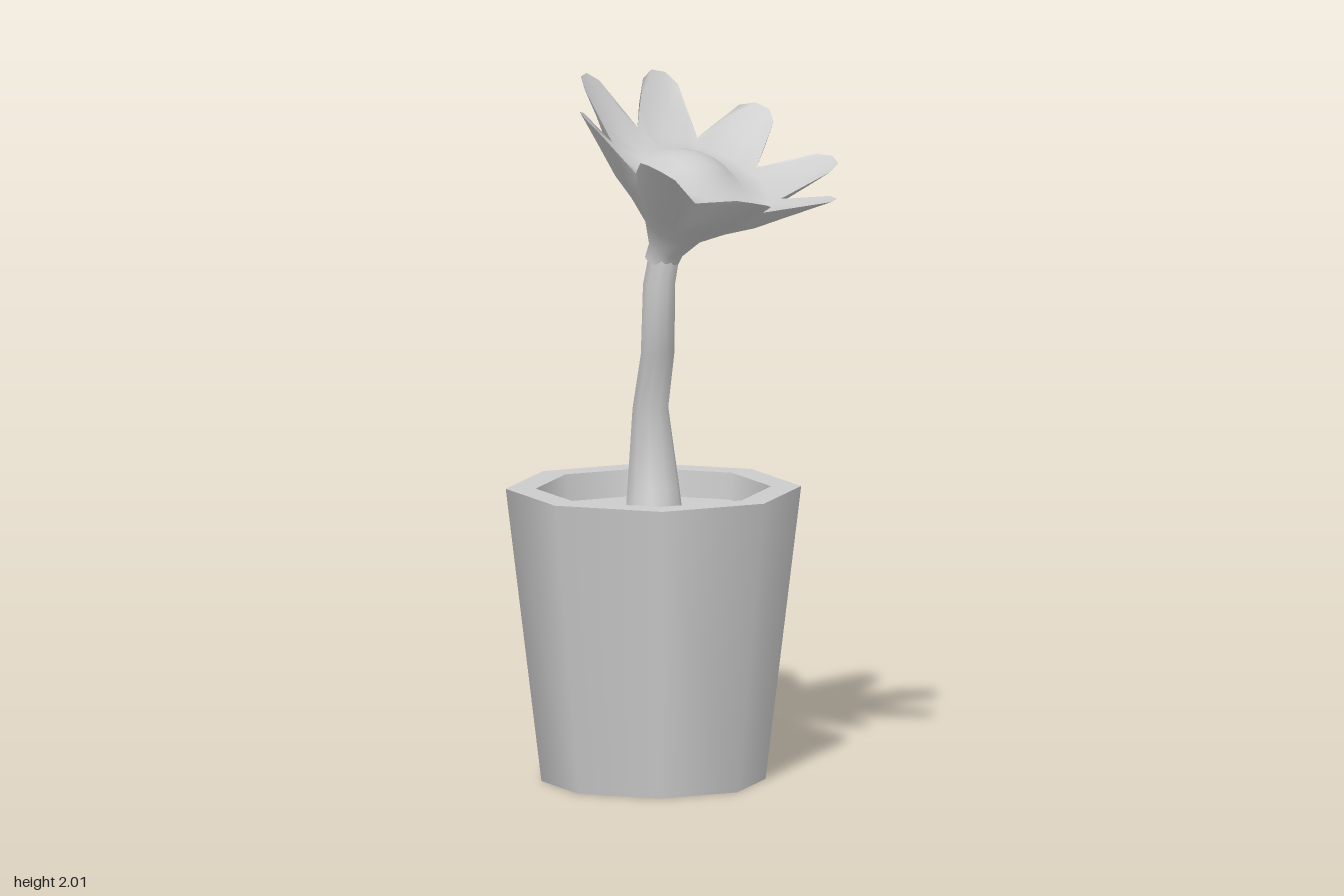
import * as THREE from 'three';
import { mergeVertices } from 'three/addons/utils/BufferGeometryUtils.js';

const V = (x, y, z) => new THREE.Vector3(x, y, z);
const DEG = Math.PI / 180;

// Skin a list of closed rings (equal point counts) with smooth normals
function loft(rings) {
  const n = rings[0].length, index = [];
  for (let i = 0; i < rings.length - 1; i++) {
    for (let j = 0; j < n; j++) {
      const k = (j + 1) % n;
      const a = i * n + j, b = a + n, c = i * n + k, d = c + n;
      index.push(a, b, c, b, d, c);
    }
  }
  const geo = new THREE.BufferGeometry().setFromPoints(rings.flat());
  geo.setIndex(index);
  const merged = mergeVertices(geo, 1e-4);
  merged.computeVertexNormals();
  return merged;
}

export function createModel() {
  const model = new THREE.Group();
  model.name = 'pottedFlower';
  const material = new THREE.MeshStandardMaterial({ color: 0xcccccc });
  const thin = new THREE.MeshStandardMaterial({ color: 0xcccccc, side: THREE.DoubleSide });
  const add = (parent, name, geo, mat = material) => {
    const mesh = new THREE.Mesh(geo, mat);
    mesh.name = name;
    parent.add(mesh);
    return mesh;
  };

  // Eight-sided pot, one band per surface so the rims stay sharp
  const pot = new THREE.Group();
  pot.name = 'pot';
  pot.position.set(-0.095, 0, -0.045);
  model.add(pot);
  const profile = [[0, 0], [0.314, 0], [0.414, 0.83], [0.33, 0.83], [0.32, 0.755], [0, 0.755]];
  ['potBase', 'potWall', 'potRim', 'potInnerWall', 'soil'].forEach((name, i) => {
    const pts = [profile[i], profile[i + 1]].map(p => new THREE.Vector2(...p));
    add(pot, name, new THREE.LatheGeometry(pts, 8, 27.4 * DEG));
  });

  // Crooked tapering stem: x, y, z, radius
  const stem = [
    [-0.093, 0.75, -0.045, 0.082], [-0.1, 0.83, -0.055, 0.074], [-0.12, 1.05, -0.08, 0.051],
    [-0.06, 1.22, 0.005, 0.048], [-0.051, 1.42, 0.015, 0.046], [-0.032, 1.53, 0.012, 0.044],
  ].map(([x, y, z, r]) => Array.from({ length: 10 }, (_, j) => {
    const a = j / 10 * Math.PI * 2;
    return V(x + r * Math.cos(a), y, z + r * Math.sin(a));
  }));
  add(model, 'stem', loft(stem));

  // Tilted flower head, local y along its axis
  const flower = new THREE.Group();
  flower.name = 'flower';
  flower.position.set(-0.04, 1.5, 0.01);
  flower.quaternion.setFromUnitVectors(V(0, 1, 0), V(0.39, 0.92, 0.046).normalize());
  model.add(flower);

  const PETALS = 8;
  // A ring repeats five points per petal, each [forward, sideways, height]
  const petalRing = pts => Array.from({ length: PETALS }, (_, p) => pts.map(([f, s, h]) => {
    const a = p / PETALS * Math.PI * 2 - 3 * DEG;
    return V(f * Math.cos(a) - s * Math.sin(a), h, f * Math.sin(a) + s * Math.cos(a));
  })).flat();
  const roundRing = (r, h) => petalRing([-22.5, -14, -5, 5, 14].map(d =>
    [r * Math.cos(d * DEG), r * Math.sin(d * DEG), h]));
  const notchRing = (notch, shoulder, tip) => petalRing([
    [notch[0] * Math.cos(22.5 * DEG), -notch[0] * Math.sin(22.5 * DEG), notch[1]],
    [shoulder[0], -shoulder[1], shoulder[2]], [tip[0], -tip[1], tip[2]],
    [tip[0], tip[1], tip[2]], [shoulder[0], shoulder[1], shoulder[2]],
  ]);

  const notch = [0.25, 0.272];
  const outline = notchRing(notch, [0.372, 0.056, 0.362], [0.405, 0.022, 0.378]);
  const edge = [0.305, 0.076, 0.312];

  // Flaring underside of the petals
  add(flower, 'petalUnderside', loft([
    roundRing(0.047, -0.02), roundRing(0.05, 0.02), roundRing(0.085, 0.085), roundRing(0.155, 0.15),
    notchRing([0.212, 0.22], [0.218, 0.062, 0.21], [0.225, 0.022, 0.205]),
    notchRing(notch, edge, [0.305, 0.025, 0.283]),
    outline,
  ]), thin);

  // Face of the petals, running in to a low central dome
  add(flower, 'petalFace', loft([
    outline,
    notchRing(notch, edge, [0.305, 0.025, 0.302]),
    notchRing([0.21, 0.262], [0.215, 0.06, 0.262], [0.22, 0.02, 0.262]),
    roundRing(0.15, 0.258), roundRing(0.085, 0.297), roundRing(0.04, 0.312), roundRing(0, 0.315),
  ]), thin);

  return model;
}
